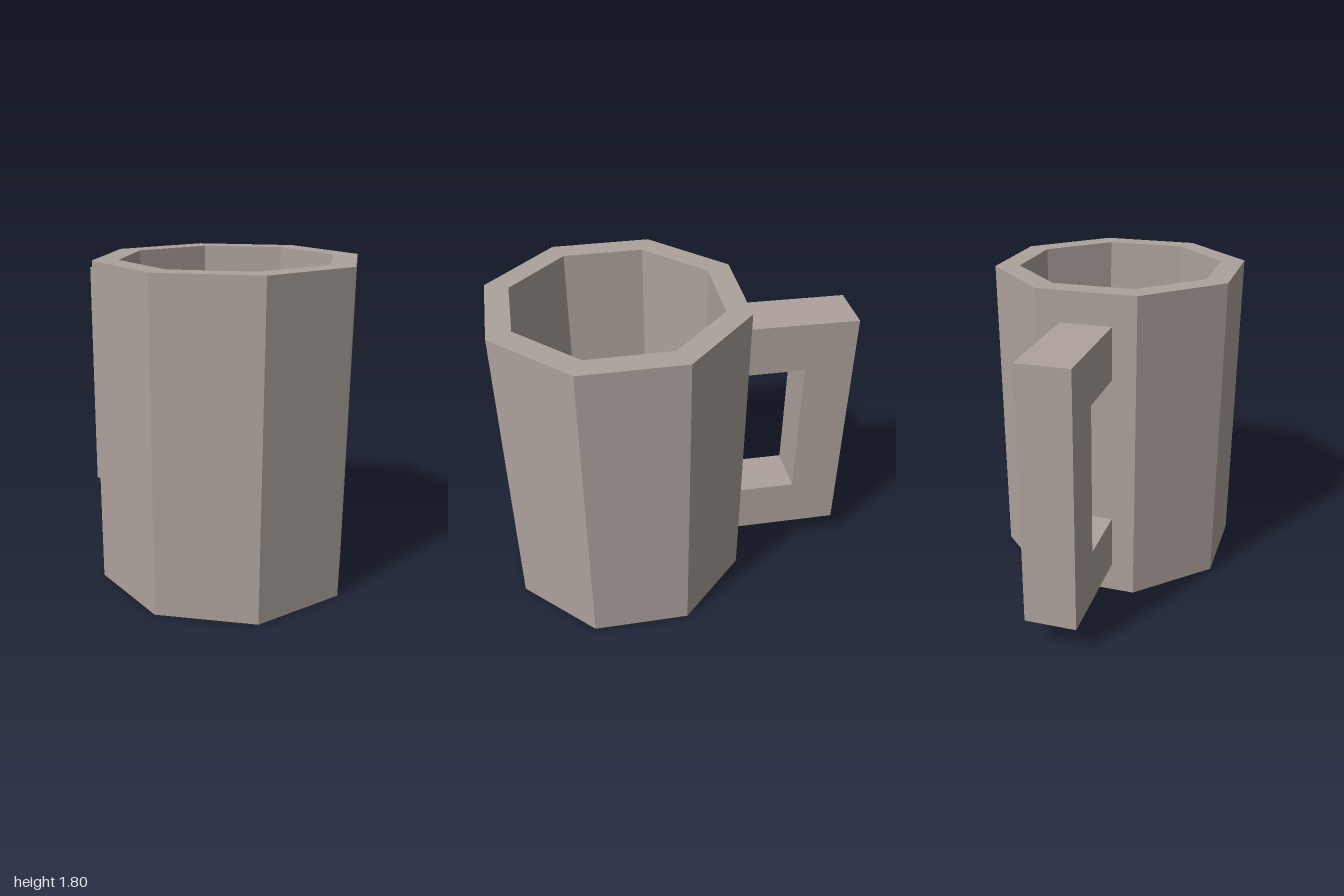
import * as THREE from 'three';

export function createModel() {
  const mug = new THREE.Group();
  mug.name = 'mug';

  const clay = new THREE.MeshStandardMaterial({ color: 0xada29c, flatShading: true });
  clay.name = 'warm grey clay';

  // Eight-sided hollow cup; profile given as [distance to flat side, height]
  const profile = [[0, 0], [0.663, 0], [0.676, 1.8], [0.547, 1.8], [0.547, 0.13], [0, 0.13]];
  const points = profile.map(([d, y]) => new THREE.Vector2(d / Math.cos(Math.PI / 8), y));
  const cup = new THREE.Mesh(new THREE.LatheGeometry(points, 8, Math.PI / 8), clay);
  cup.name = 'cup';
  cup.position.z = 0.322;
  mug.add(cup);

  // Square C-shaped handle, outlined as [distance behind centre, height]
  const outline = [
    [0.33, 0.17], [0.992, 0.163], [1, 1.615], [0.33, 1.625],
    [0.33, 1.328], [0.714, 1.324], [0.71, 0.472], [0.33, 0.477],
  ];
  const shape = new THREE.Shape(outline.map(([d, y]) => new THREE.Vector2(d, y)));
  const width = 0.29;
  const handleGeometry = new THREE.ExtrudeGeometry(shape, { depth: width, bevelEnabled: false });
  handleGeometry.translate(0, 0, -width / 2).rotateY(Math.PI / 2);
  const handle = new THREE.Mesh(handleGeometry, clay);
  handle.name = 'handle';
  mug.add(handle);

  return mug;
}
